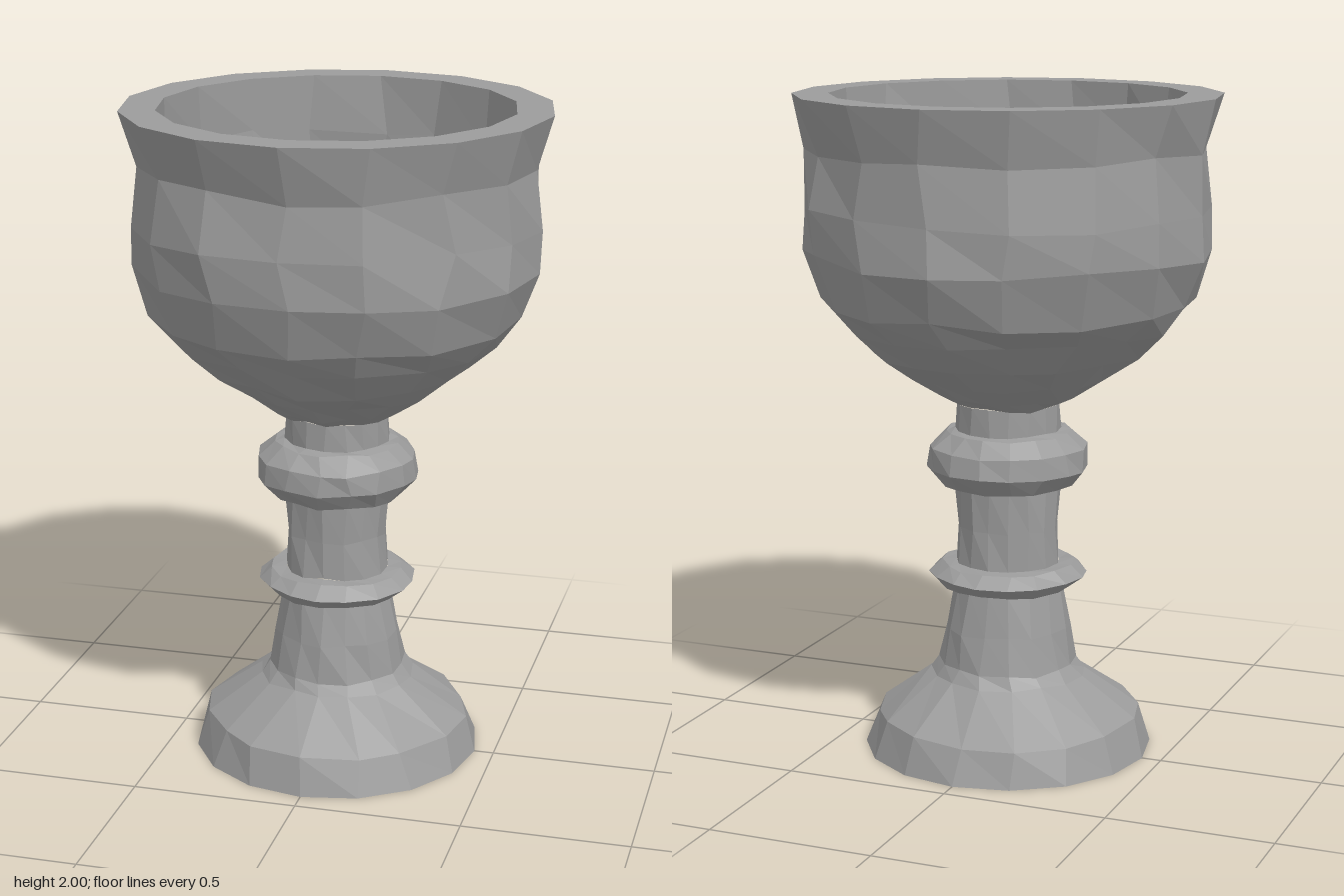
import * as THREE from 'three';

const SIDES = 16;

// Repeatable noise in -1..1, so parts sharing a ring stay joined
function noise(a, b, c, seed) {
  const s = Math.sin(a * 127.1 + b * 311.7 + c * 74.7 + seed * 53.3) * 43758.5453;
  return (s - Math.floor(s)) * 2 - 1;
}

// Faceted, roughly hewn surface of revolution from [radius, height] pairs
function hewn(name, profile, rough, material) {
  const n = profile.length;
  const lathe = new THREE.LatheGeometry(profile.map(([r, y]) => new THREE.Vector2(r, y)), SIDES);
  const pos = lathe.attributes.position;
  for (let i = 0; i <= SIDES; i++) {
    for (let j = 0; j < n; j++) {
      const [r, y] = profile[j];
      // Rim, base and axis stay true
      if (r === 0 || y === 0 || y === 2) continue;
      const k = i % SIDES;
      const amount = rough * Math.min(1, 0.35 + r);
      const angle = (k / SIDES) * Math.PI * 2 + noise(r, y, k, 1) * 0.05;
      const radius = r + noise(r, y, k, 2) * amount;
      pos.setXYZ(i * n + j, Math.sin(angle) * radius, y + noise(r, y, k, 3) * amount, Math.cos(angle) * radius);
    }
  }
  const geometry = lathe.toNonIndexed();
  geometry.computeVertexNormals();
  const mesh = new THREE.Mesh(geometry, material);
  mesh.name = name;
  return mesh;
}

export function createModel() {
  const goblet = new THREE.Group();
  goblet.name = 'goblet';
  const stone = new THREE.MeshStandardMaterial({ color: 0x9c9c9c });
  stone.name = 'grey stone';

  const parts = [
    // Flat underside, flared foot and tapering neck
    ['foot', [[0, 0], [0.44, 0], [0.405, 0.11], [0.235, 0.235], [0.21, 0.27], [0.19, 0.38], [0.165, 0.51]], 0.012],
    // Thin lower collar
    ['lowerCollar', [[0.165, 0.51], [0.205, 0.515], [0.24, 0.55], [0.2, 0.582], [0.158, 0.585]], 0.007],
    ['stem', [[0.158, 0.585], [0.155, 0.7], [0.158, 0.825]], 0.01],
    // Thick upper collar
    ['upperCollar', [[0.158, 0.825], [0.205, 0.83], [0.245, 0.88], [0.24, 0.945], [0.19, 0.99], [0.158, 0.995]], 0.008],
    ['bowlNeck', [[0.158, 0.995], [0.155, 1.075]], 0.008],
    // Outside of the bowl, up to the flared lip
    ['bowl', [[0.155, 1.075], [0.21, 1.105], [0.3, 1.165], [0.4, 1.235], [0.485, 1.315], [0.552, 1.39],
      [0.605, 1.54], [0.607, 1.67], [0.592, 1.84], [0.636, 2]], 0.013],
    ['rim', [[0.636, 2], [0.528, 2]], 0],
    // Upright inner wall, then the hollow running down to the middle
    ['bowlInside', [[0.528, 2], [0.525, 1.83], [0.52, 1.65], [0.43, 1.5], [0.33, 1.39], [0.2, 1.29], [0.09, 1.23], [0, 1.2]], 0.014],
  ];
  for (const [name, profile, rough] of parts) goblet.add(hewn(name, profile, rough, stone));
  return goblet;
}
